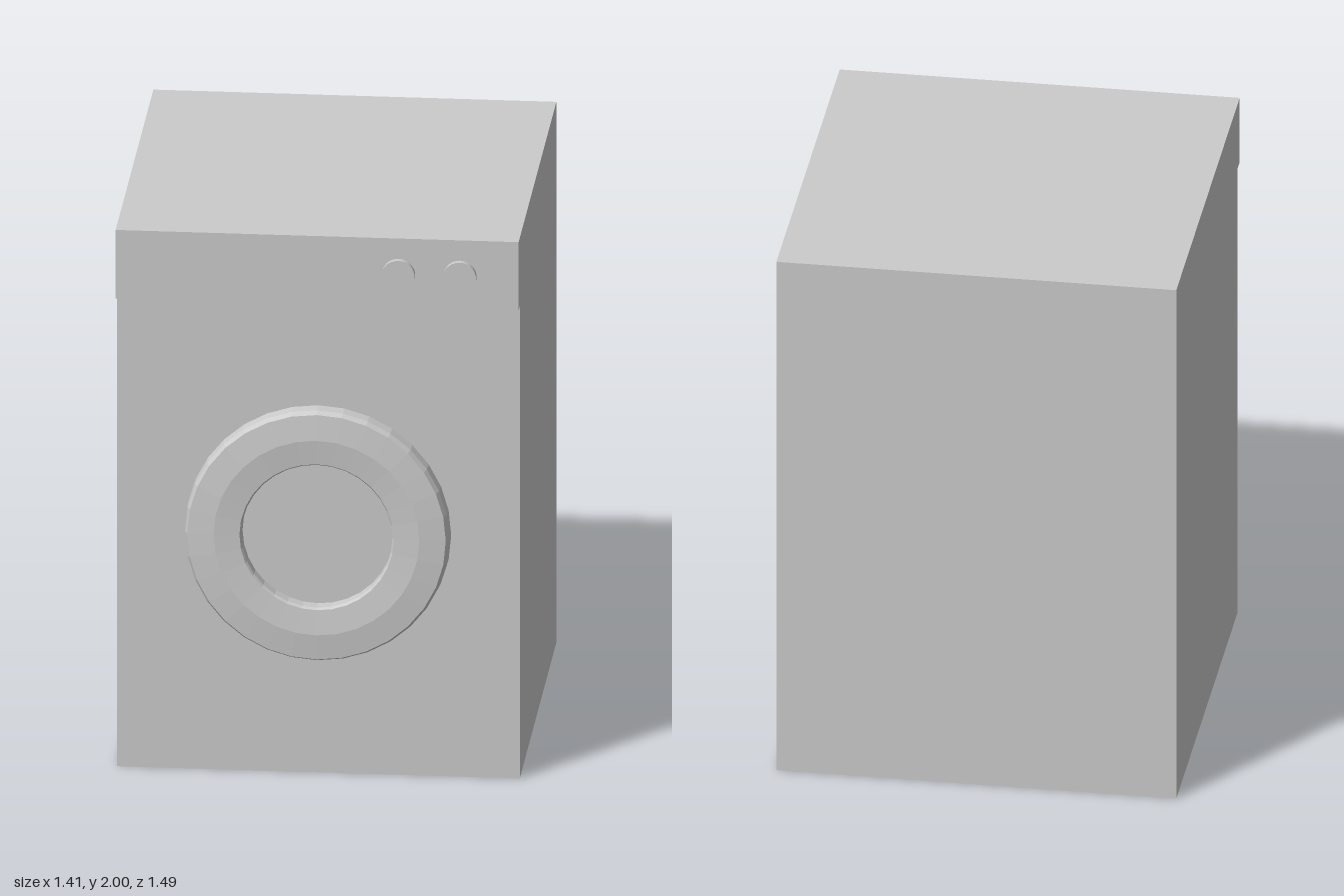
import * as THREE from 'three';

const grey = new THREE.MeshStandardMaterial({ color: 0xcccccc });
const faceted = new THREE.MeshStandardMaterial({ color: 0xcccccc, flatShading: true });

export function createModel() {
  const group = new THREE.Group();
  const add = (name, geometry, material, x, y, z) => {
    const mesh = new THREE.Mesh(geometry, material);
    mesh.name = name;
    mesh.position.set(x, y, z);
    group.add(mesh);
    return mesh;
  };

  const width = 1.41, back = -0.745, front = 0.67, panelFront = 0.715;

  // Cabinet
  add('cabinet', new THREE.BoxGeometry(width, 2, front - back), grey, 0, 1, (front + back) / 2);

  // Control panel projecting along the top of the front
  const panelHeight = 0.253, panelDepth = panelFront - front;
  add('controlPanel', new THREE.BoxGeometry(width, panelHeight, panelDepth), grey,
    0, 2 - panelHeight / 2, front + panelDepth / 2);

  // Two round control knobs
  for (const x of [0.285, 0.5]) {
    const knob = new THREE.CylinderGeometry(0.058, 0.058, 0.022, 32).rotateX(Math.PI / 2);
    add('knob', knob, grey, x, 1.867, panelFront + 0.011);
  }

  // Door ring: tapered rim, gently domed face and an inner wall
  const profile = [
    [0.465, 0], [0.462, 0.045], [0.452, 0.066], [0.36, 0.075], [0.27, 0.066], [0.264, 0.055], [0.264, 0],
  ].map(([r, z]) => new THREE.Vector2(r, z));
  const ring = new THREE.LatheGeometry(profile, 32).rotateX(Math.PI / 2);
  add('doorRing', ring, faceted, 0, 0.893, front);

  // Door window set back inside the ring
  add('doorWindow', new THREE.CircleGeometry(0.266, 32), grey, 0, 0.893, front + 0.01);

  return group;
}
